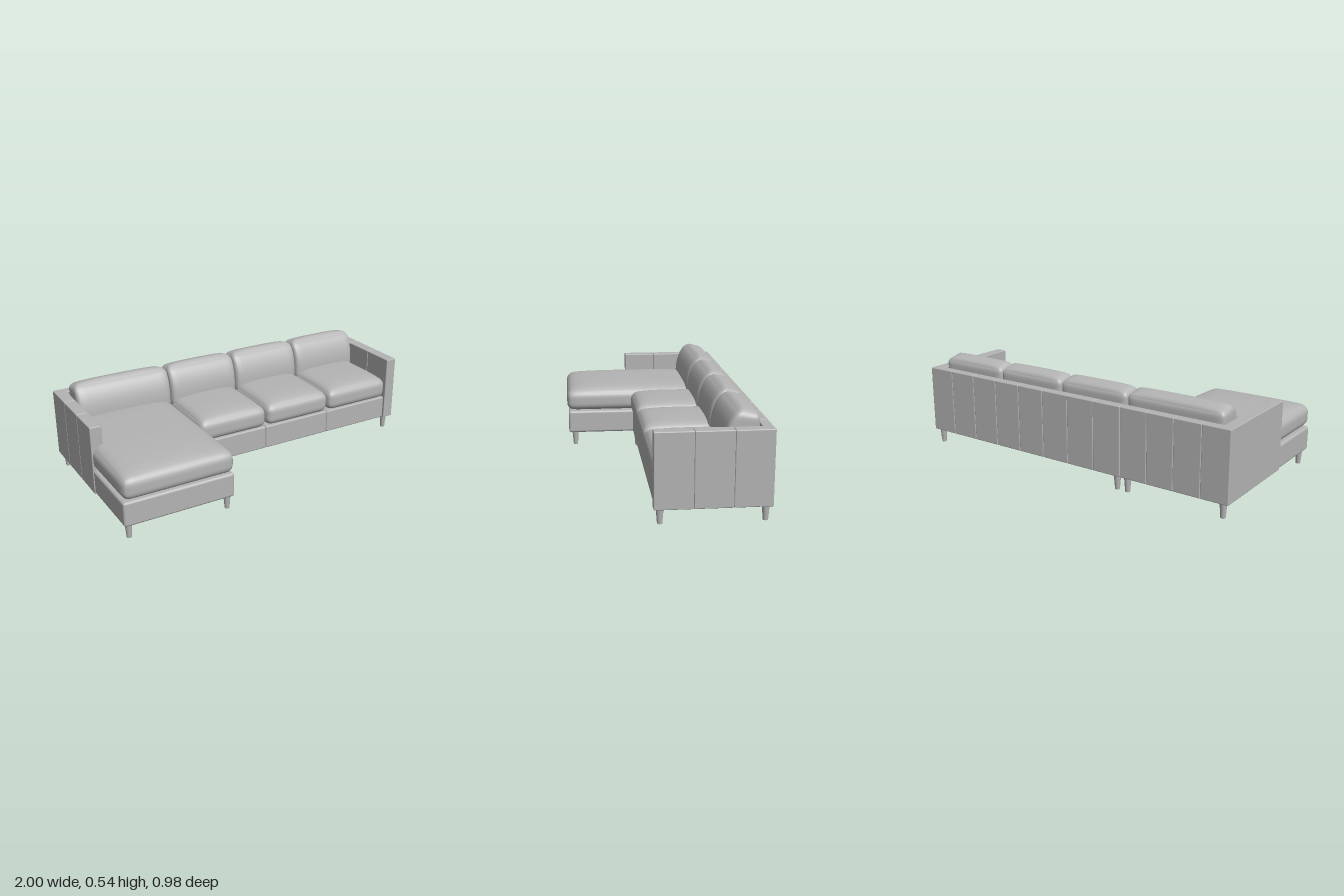
import * as THREE from 'three';
import { mergeVertices } from 'three/addons/utils/BufferGeometryUtils.js';
import { RoundedBoxGeometry } from 'three/addons/geometries/RoundedBoxGeometry.js';

const fabric = new THREE.MeshStandardMaterial({ color: 0xb4b4b4 });
fabric.name = 'grey fabric';

// Upholstered panel given by its min/max bounds
function panel(name, x0, x1, y0, y1, z0, z1, r = 0.008) {
  const mesh = new THREE.Mesh(new RoundedBoxGeometry(x1 - x0, y1 - y0, z1 - z0, 3, r), fabric);
  mesh.position.set((x0 + x1) / 2, (y0 + y1) / 2, (z0 + z1) / 2);
  mesh.name = name;
  return mesh;
}

// Soft cushion: a rounded box with a crowned top, then an optional reshaping rule
function cushion(name, min, max, r, crown, reshape) {
  const n = 18;
  let geo = new THREE.BoxGeometry(2, 2, 2, n, n, n);
  geo.deleteAttribute('uv');
  geo.deleteAttribute('normal');
  geo = mergeVertices(geo, 1e-4);
  const lo = new THREE.Vector3(...min), hi = new THREE.Vector3(...max);
  const centre = lo.clone().add(hi).multiplyScalar(0.5);
  const half = hi.clone().sub(lo).multiplyScalar(0.5);
  const inner = half.clone().subScalar(r);
  const pos = geo.attributes.position;
  const v = new THREE.Vector3(), core = new THREE.Vector3();
  for (let i = 0; i < pos.count; i++) {
    v.fromBufferAttribute(pos, i);
    // crowd the grid towards the edges so the rounding is smooth
    v.set(...v.toArray().map((t) => Math.sin(t * Math.PI / 2)));
    const bulge = (1 - v.x ** 4) * (1 - v.z ** 4) * Math.max(0, v.y);
    v.multiply(half);
    core.copy(v).clamp(inner.clone().negate(), inner);
    v.sub(core).normalize().multiplyScalar(r).add(core);
    v.y += crown * bulge;
    v.add(centre);
    if (reshape) reshape(v);
    pos.setXYZ(i, v.x, v.y, v.z);
  }
  geo.computeVertexNormals();
  const mesh = new THREE.Mesh(geo, fabric);
  mesh.name = name;
  return mesh;
}

// Back cushions thin towards the top and slope down to the rear
function leanBack(v) {
  const t = Math.max(0, (v.y - 0.32) / 0.22);
  const depth = (v.z + 0.432) / 0.177;
  v.z = -0.432 + depth * 0.177 * (1 - 0.38 * t ** 3);
  v.y -= 0.025 * t * t * (1 - depth);
}

export function createModel() {
  const sofa = new THREE.Group();
  sofa.name = 'sectionalSofa';
  const floor = 0.08, top = 0.465, seatBase = 0.217;
  const back = -0.49, backInner = -0.437, armFront = 0.088;

  // Seat bases
  const seats = [-0.367, 0.065, 0.497, 0.934];
  for (let i = 0; i < 3; i++) {
    sofa.add(panel('seatBase', seats[i], seats[i + 1], floor, seatBase, -0.45, 0.08));
  }
  sofa.add(panel('chaiseBase', -0.995, -0.373, floor, seatBase, -0.45, 0.48, 0.014));

  // Back, in stitched panels
  function backPanels(x0, x1, count) {
    const w = (x1 - x0) / count;
    for (let i = 0; i < count; i++) {
      sofa.add(panel('backPanel', x0 + i * w, x0 + (i + 1) * w, floor, top, back, backInner, 0.005));
    }
  }
  backPanels(-1, -0.373, 4);
  backPanels(-0.367, 1, 8);

  // Arms, in stitched panels
  const armSeams = [back, -0.298, -0.105, armFront];
  for (const side of [-1, 1]) {
    const xs = [side * 0.935, side].sort((a, b) => a - b);
    for (let i = 0; i < 3; i++) {
      sofa.add(panel('armPanel', xs[0], xs[1], floor, top, armSeams[i], armSeams[i + 1], 0.005));
    }
  }

  // Seat cushions
  for (let i = 0; i < 3; i++) {
    sofa.add(cushion('seatCushion', [seats[i] + 0.002, 0.22, -0.435],
      [seats[i + 1] - 0.002, 0.342, 0.095], 0.042, 0.024));
  }
  sofa.add(cushion('chaiseCushion', [-0.993, 0.22, -0.435], [-0.37, 0.345, 0.488], 0.045, 0.027));

  // Back cushions
  const backs = [-0.932, ...seats];
  for (let i = 0; i < 4; i++) {
    sofa.add(cushion('backCushion', [backs[i] + 0.002, 0.3, -0.432],
      [backs[i + 1] - 0.002, 0.54, -0.255], 0.035, 0.012, leanBack));
  }

  // Tapered legs
  const legGeo = new THREE.CylinderGeometry(0.02, 0.013, 0.085, 20);
  const legs = [[-0.96, 0.44], [-0.4, 0.44], [-0.96, -0.46], [-0.4, -0.46],
    [-0.335, 0.055], [0.96, 0.055], [-0.335, -0.46], [0.96, -0.46]];
  for (const [x, z] of legs) {
    const leg = new THREE.Mesh(legGeo, fabric);
    leg.position.set(x, 0.0425, z);
    leg.name = 'leg';
    sofa.add(leg);
  }
  return sofa;
}
